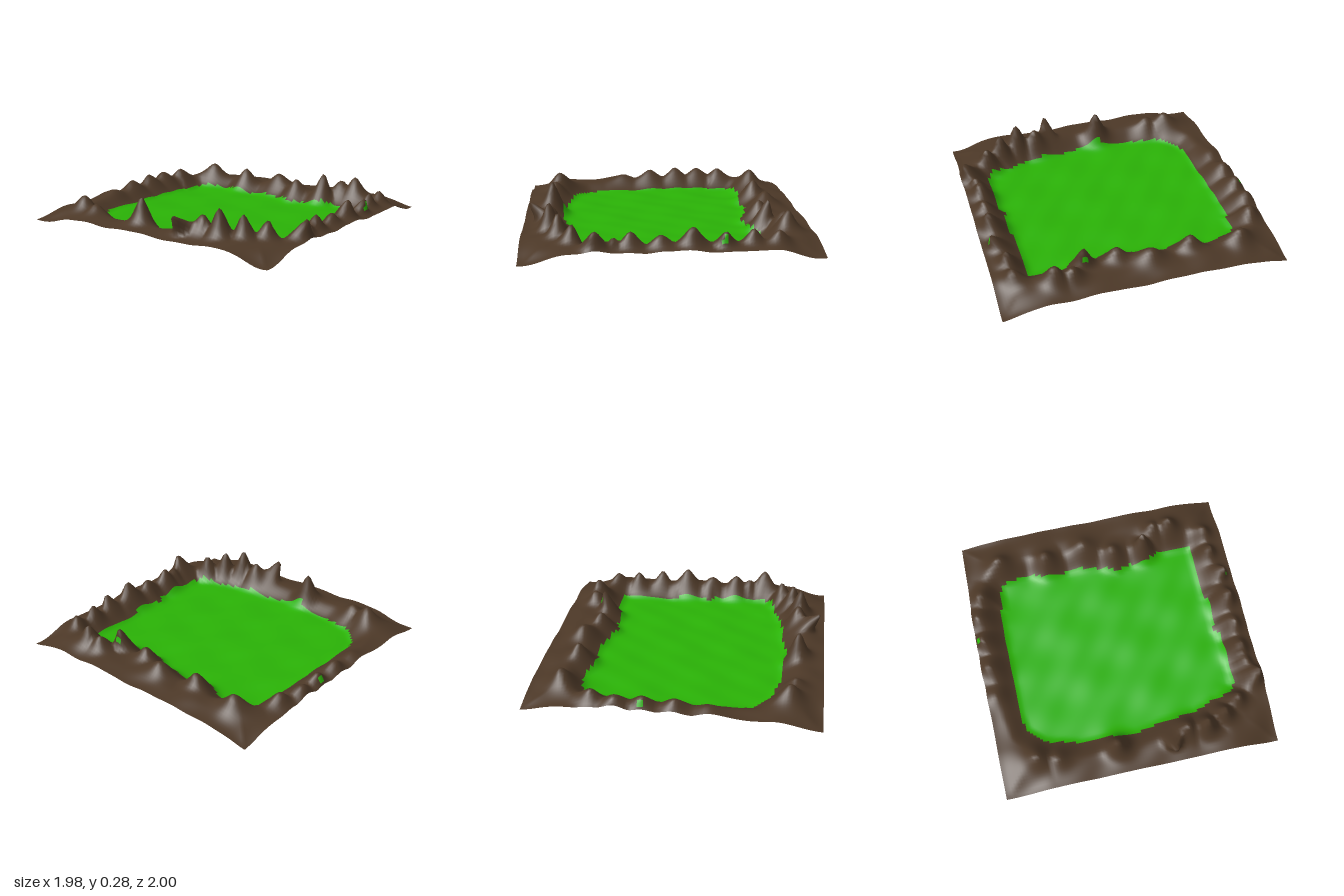
import * as THREE from 'three';

const HALF = 0.99, N = 96;

// Outline of the grass floor (x, z)
const OUTLINE = [
  [-0.4, -0.79], [0.43, -0.79], [0.44, -0.76], [0.62, -0.75], [0.67, -0.52], [0.61, -0.4],
  [0.64, -0.15], [0.6, 0.05], [0.55, 0.15], [0.59, 0.25], [0.57, 0.38], [0.63, 0.48],
  [0.63, 0.74], [0.2, 0.74], [0.18, 0.77], [-0.08, 0.75], [-0.1, 0.78], [-0.5, 0.78],
  [-0.58, 0.74], [-0.6, 0.6], [-0.66, 0.45], [-0.68, 0.2], [-0.72, 0], [-0.7, -0.4],
  [-0.64, -0.65], [-0.53, -0.76],
];

// Mounds on the rim: x, z, peak height, radius, outward lean
const MOUNDS = [
  [-0.76, -0.72, 0.2, 0.07, 0.1], [-0.79, -0.58, 0.16, 0.06, 0.1], [-0.79, -0.15, 0.29, 0.055, 0.05],
  [-0.77, 0.36, 0.23, 0.06, 0.1], [-0.79, 0.5, 0.3, 0.055, 0.05], [-0.73, 0.64, 0.26, 0.05, 0.05],
  [-0.64, 0.75, 0.24, 0.05, 0.1], [-0.5, 0.89, 0.23, 0.06, 0.5], [-0.27, 0.86, 0.21, 0.06, 0.2],
  [-0.38, 0.87, 0.17, 0.05, 0.2], [-0.08, 0.86, 0.18, 0.06, 0.3], [0.13, 0.86, 0.23, 0.065, 0.3],
  [0.34, 0.87, 0.19, 0.045, 0.55], [0.53, 0.84, 0.19, 0.045, 0.2], [0.7, 0.84, 0.18, 0.055, 0.2],
  [0.75, -0.72, 0.2, 0.075, 0.2], [0.71, -0.37, 0.21, 0.065, 0.2], [0.76, -0.08, 0.18, 0.08, 0.2],
  [0.67, 0.14, 0.18, 0.06, 0.2], [0.66, 0.38, 0.26, 0.05, 0.3], [0.79, 0.48, 0.19, 0.06, 0.2],
  [0.79, 0.6, 0.23, 0.06, 0.1], [-0.03, -0.91, 0.17, 0.07, 0.4], [0.18, -0.9, 0.18, 0.065, 0.5],
  [0.36, -0.92, 0.17, 0.07, 0.4], [0.53, -0.89, 0.17, 0.06, 0.2], [-0.25, -0.92, 0.13, 0.07, 0.2],
];

// Small grassy spots on the steep outer faces: x, z, radius
const SPOTS = [[0.34, 0.91, 0.022], [0.71, 0.37, 0.02], [0.18, -0.95, 0.02]];

// Signed distance to the outline: negative inside
function outlineDistance(x, z) {
  let best = Infinity, inside = false;
  OUTLINE.forEach(([ax, az], i) => {
    const [bx, bz] = OUTLINE[(i + 1) % OUTLINE.length];
    const dx = bx - ax, dz = bz - az;
    const t = THREE.MathUtils.clamp(((x - ax) * dx + (z - az) * dz) / (dx * dx + dz * dz), 0, 1);
    best = Math.min(best, Math.hypot(x - ax - t * dx, z - az - t * dz));
    if ((az > z) !== (bz > z) && x < ax + dx * (z - az) / dz) inside = !inside;
  });
  return inside ? -best : best;
}

function isGrass(x, z) {
  return outlineDistance(x, z) < 0 || SPOTS.some(([sx, sz, r]) => Math.hypot(x - sx, z - sz) < r);
}

// One ground point: shallow basin, raised rim, drooping corners, mounds
function groundPoint(u, v) {
  const smooth = THREE.MathUtils.smoothstep;
  const d = outlineDistance(u, v);
  const ripple = 0.005 * Math.sin(8 * u + 4 * v) * Math.cos(11 * v - 5 * u)
    + 0.004 * Math.sin(17 * u - 9 * v + 1) * Math.sin(16 * v + 2);
  const edge = Math.max(Math.abs(u), Math.abs(v)), inner = Math.min(Math.abs(u), Math.abs(v));
  let x = u, z = v;
  let y = 0.02 + ripple + 0.075 * smooth(d, -0.04, 0.13)
    - 0.014 * smooth(edge, 0.85, HALF)
    - 0.055 * smooth(edge, 0.75, HALF) * smooth(inner, 0.65, HALF);
  y += 0.006 * Math.sin(11 * (u - v)) * smooth(d, 0, 0.2);
  // Mounds lean outward across the nearest side
  let lift = 0;
  for (const [mx, mz, peak, r, lean] of MOUNDS) {
    const q = Math.hypot(u - mx, v - mz) / r;
    const rise = (peak - 0.09) * Math.exp(-0.7 * Math.pow(q, 1.7));
    lift = Math.max(lift, rise);
    if (Math.abs(mx) > Math.abs(mz)) x += Math.sign(mx) * rise * lean;
    else z += Math.sign(mz) * rise * lean;
  }
  y += lift;
  // Sharp spike bent towards the outside
  const s = Math.exp(-Math.pow(Math.hypot(u + 0.83, v - 0.24) / 0.05, 2));
  x -= 0.12 * s;
  y += 0.12 * s;
  return [THREE.MathUtils.clamp(x, -1, 1), y, THREE.MathUtils.clamp(z, -1, 1)];
}

export function createModel() {
  const group = new THREE.Group();
  const grass = new THREE.MeshStandardMaterial({ color: 0x2ab206, side: THREE.DoubleSide });
  grass.name = 'grass green';
  const earth = new THREE.MeshStandardMaterial({ color: 0x4c3827, side: THREE.DoubleSide });
  earth.name = 'earth brown';

  // Ground grid, with each cell sorted into floor or rim
  const positions = [], grassIndex = [], earthIndex = [];
  const at = (i) => -HALF + (2 * HALF * i) / N;
  for (let j = 0; j <= N; j++) {
    for (let i = 0; i <= N; i++) positions.push(...groundPoint(at(i), at(j)));
  }
  for (let j = 0; j < N; j++) {
    for (let i = 0; i < N; i++) {
      const a = j * (N + 1) + i, b = a + 1, c = a + N + 1, e = c + 1;
      const target = isGrass(at(i + 0.5), at(j + 0.5)) ? grassIndex : earthIndex;
      target.push(a, c, b, b, c, e);
    }
  }

  // Normals come from the whole surface so the two parts blend smoothly
  const whole = new THREE.BufferGeometry();
  whole.setAttribute('position', new THREE.Float32BufferAttribute(positions, 3));
  whole.setIndex([...grassIndex, ...earthIndex]);
  whole.computeVertexNormals();
  whole.computeBoundingBox();
  whole.translate(0, -whole.boundingBox.min.y, 0);

  const addPart = (name, index, material) => {
    const geometry = whole.clone().setIndex(index);
    const mesh = new THREE.Mesh(geometry, material);
    mesh.name = name;
    group.add(mesh);
  };
  addPart('grassFloor', grassIndex, grass);
  addPart('earthRim', earthIndex, earth);
  return group;
}
